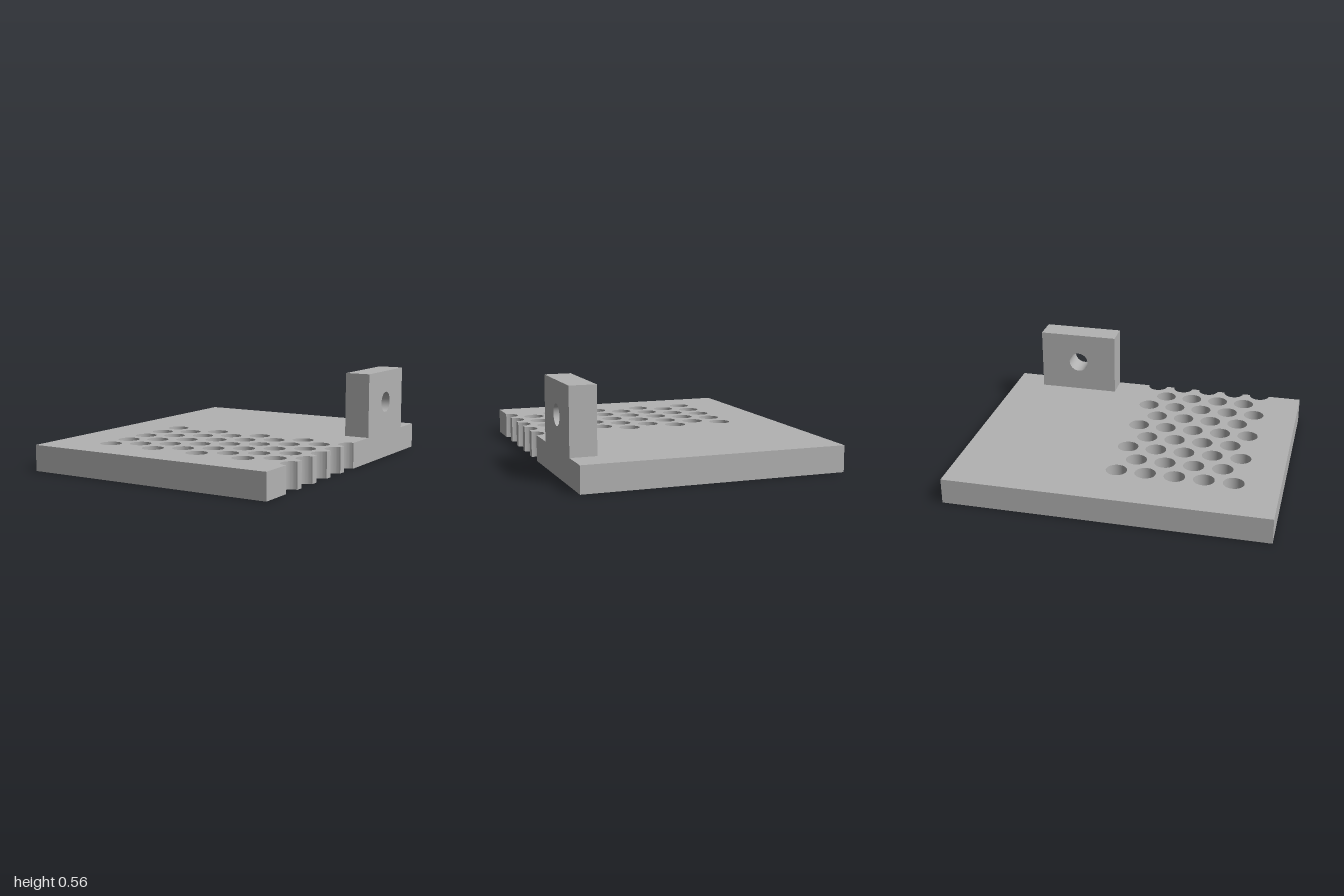
import * as THREE from 'three';
import { toCreasedNormals } from 'three/addons/utils/BufferGeometryUtils.js';

const HOLE_R = 0.065;
const PITCH = 0.18; // hole spacing along z
const COLUMN = PITCH * Math.sqrt(3) / 2; // column spacing along x
const EDGE = 0.8;

function extrude(shape, depth) {
  const geometry = new THREE.ExtrudeGeometry(shape, { depth, bevelEnabled: false, curveSegments: 16 });
  return toCreasedNormals(geometry, 0.5);
}

function circle(x, y) {
  return new THREE.Path().absarc(x, y, HOLE_R, 0, Math.PI * 2, true);
}

// Plate outline drawn in (x, -z), with half-round notches along the left edge
function plateShape() {
  const shape = new THREE.Shape();
  shape.moveTo(-EDGE, -1);
  shape.lineTo(EDGE, -1);
  for (let row = 4; row >= 0; row--) {
    const y = -row * PITCH;
    shape.lineTo(EDGE, y - HOLE_R);
    shape.absarc(EDGE, y, HOLE_R, -Math.PI / 2, Math.PI / 2, true);
  }
  shape.lineTo(EDGE, 1);
  shape.lineTo(-EDGE, 1);
  shape.closePath();

  // Staggered columns of five and four holes
  for (let col = 1; col <= 8; col++) {
    const odd = col % 2;
    for (let row = 0; row < 5 - odd; row++) {
      shape.holes.push(circle(EDGE - col * COLUMN, -(row + odd / 2) * PITCH));
    }
  }
  return shape;
}

// Lug outline drawn in (-z, y), with a cross hole
function lugShape() {
  const shape = new THREE.Shape();
  shape.moveTo(0.28, 0.16);
  shape.lineTo(0.8, 0.16);
  shape.lineTo(0.8, 0.56);
  shape.lineTo(0.28, 0.56);
  shape.closePath();
  shape.holes.push(circle(0.54, 0.36));
  return shape;
}

export function createModel() {
  const grey = new THREE.MeshStandardMaterial({ color: 0xb2b2b2 });
  grey.name = 'grey';
  const model = new THREE.Group();
  model.name = 'perforatedBracket';

  // Perforated base plate
  const plate = new THREE.Mesh(extrude(plateShape(), 0.16), grey);
  plate.name = 'basePlate';
  plate.rotation.x = -Math.PI / 2;
  model.add(plate);

  // Upright lug flush with the left edge
  const lug = new THREE.Mesh(extrude(lugShape(), 0.16), grey);
  lug.name = 'mountingLug';
  lug.rotation.y = Math.PI / 2;
  lug.position.x = EDGE - 0.16;
  model.add(lug);

  return model;
}
